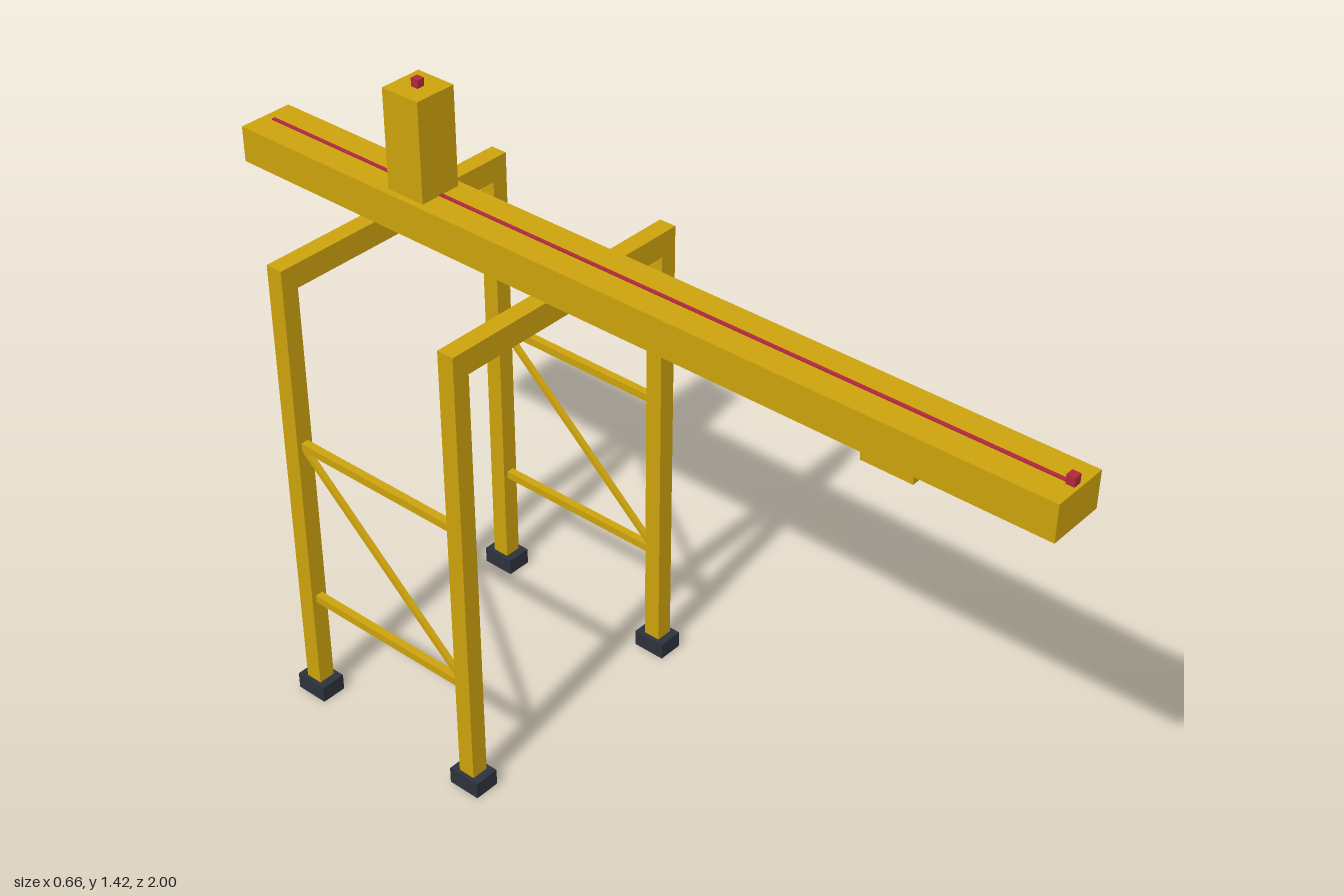
import * as THREE from 'three';

const mat = (name, color) => {
  const m = new THREE.MeshStandardMaterial({ color });
  m.name = name;
  return m;
};

export function createModel() {
  const yellow = mat('craneYellow', 0xcca20c);
  const charcoal = mat('footCharcoal', 0x2c313c);
  const glass = mat('windowDark', 0x090b22);
  const red = mat('signalRed', 0xb0283c);
  const crane = new THREE.Group();
  crane.name = 'gantryCrane';

  // box by size and centre
  const box = (name, material, [w, h, d], [x, y, z], parent = crane) => {
    const mesh = new THREE.Mesh(new THREE.BoxGeometry(w, h, d), material);
    mesh.name = name;
    mesh.position.set(x, y, z);
    parent.add(mesh);
    return mesh;
  };

  const frontZ = -0.167, rearZ = -0.634, legX = 0.3, leg = 0.04;

  // portal frames: two legs and a crossbeam in one outline
  const portal = new THREE.Shape([
    [-0.32, 0], [-0.28, 0], [-0.28, 1.04], [0.28, 1.04],
    [0.28, 0], [0.32, 0], [0.32, 1.095], [-0.32, 1.095],
  ].map(([x, y]) => new THREE.Vector2(x, y)));
  const portalGeometry = new THREE.ExtrudeGeometry(portal, { depth: leg, bevelEnabled: false });
  portalGeometry.translate(0, 0, -leg / 2);

  for (const [end, z] of [['front', frontZ], ['rear', rearZ]]) {
    const frame = new THREE.Mesh(portalGeometry, yellow);
    frame.name = `${end}Portal`;
    frame.position.z = z;
    crane.add(frame);
    // feet, with the leg end showing underneath
    for (const s of [-1, 1])
      box(`${end}Foot`, charcoal, [0.06, 0.039, 0.078], [s * legX, 0.0205, z]);
  }

  // side bracing: two rails and a diagonal between the legs
  const zA = frontZ - leg / 2, zB = rearZ + leg / 2, zMid = (zA + zB) / 2;
  for (const s of [-1, 1]) {
    const bracing = new THREE.Group();
    bracing.name = s > 0 ? 'leftBracing' : 'rightBracing';
    crane.add(bracing);
    for (const y of [0.27, 0.67])
      box('rail', yellow, [0.018, 0.018, zA - zB], [s * legX, y, zMid], bracing);
    const rise = 0.38, run = zA - zB;
    const diagonal = box('diagonal', yellow, [0.012, 0.012, Math.hypot(rise, run)],
      [s * legX, 0.47, zMid], bracing);
    diagonal.rotation.x = Math.atan2(rise, run);
  }

  // main boom, red centre line and tower
  box('boom', yellow, [0.13, 0.081, 2], [0, 1.1355, 0]);
  box('boomLine', red, [0.008, 0.004, 1.95], [0, 1.177, 0]);
  box('tower', yellow, [0.1, 0.225, 0.096], [0, 1.2875, -0.535]);
  box('towerBeacon', red, [0.018, 0.018, 0.018], [0, 1.409, -0.535]);
  box('boomBeacon', red, [0.018, 0.02, 0.018], [0, 1.186, 0.984]);

  // operator cab with a window band all round
  const cab = new THREE.Group();
  cab.name = 'operatorCab';
  cab.position.set(0.072, 1.05, 0.6);
  crane.add(cab);
  box('cabBody', yellow, [0.104, 0.09, 0.118], [0, 0, 0], cab);
  box('cabWindows', glass, [0.107, 0.042, 0.121], [0, 0.005, 0], cab);

  return crane;
}
